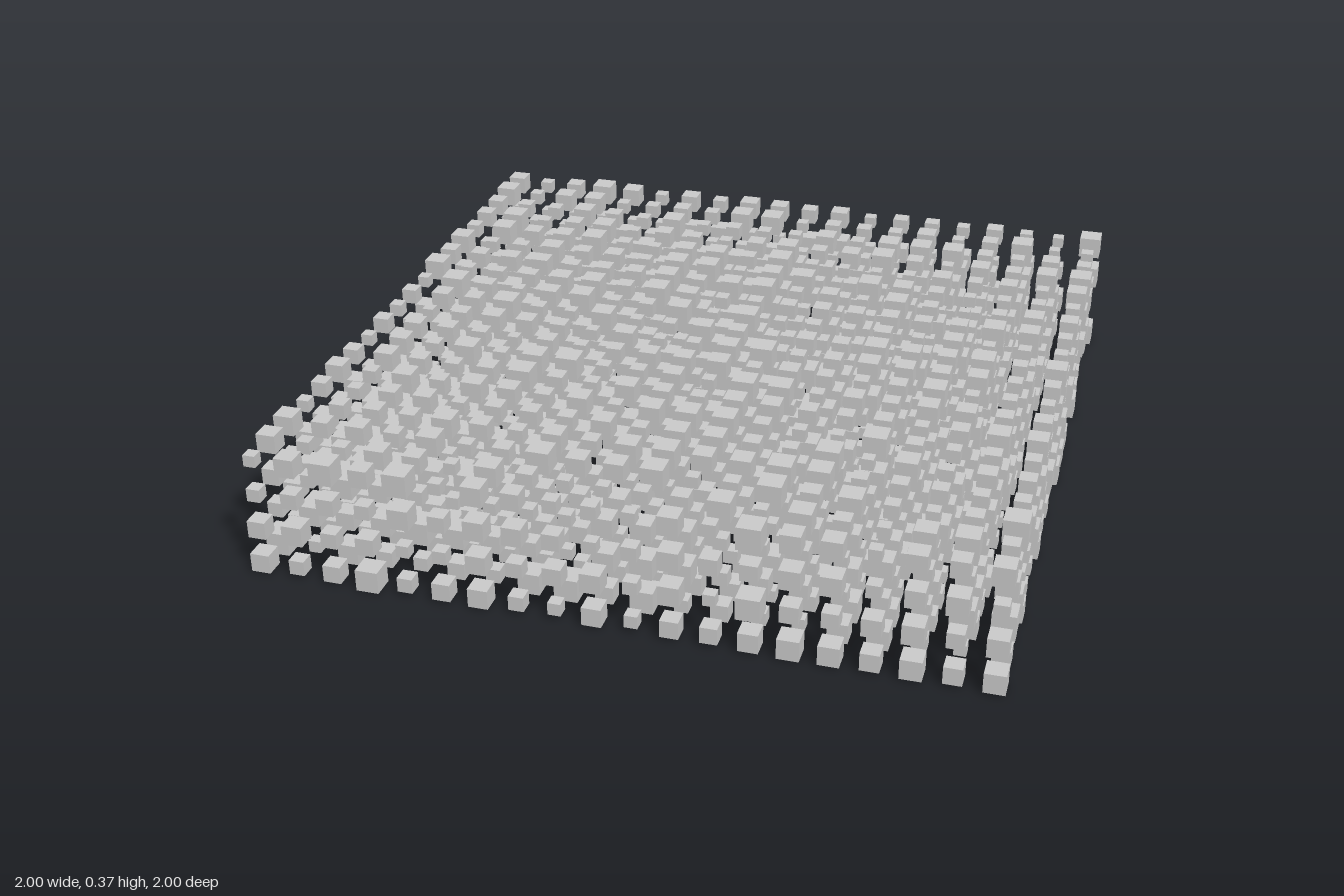
import * as THREE from 'three';
import { mergeGeometries } from 'three/addons/utils/BufferGeometryUtils.js';

const COLUMNS = 20;            // cubes along x and z
const LAYERS = 4;              // cubes along y
const MAX_SIZE = 0.064;        // largest cube edge
const MIN_SIZE = 0.032;        // smallest cube edge
const PITCH = (2 - MAX_SIZE) / (COLUMNS - 1);

// Small seeded generator for the varying cube sizes
function seededRandom(seed) {
  let s = seed;
  return () => {
    s = (s + 0x6d2b79f5) | 0;
    let t = Math.imul(s ^ (s >>> 15), 1 | s);
    t = (t + Math.imul(t ^ (t >>> 7), 61 | t)) ^ t;
    return ((t ^ (t >>> 14)) >>> 0) / 4294967296;
  };
}

export function createModel() {
  const group = new THREE.Group();
  group.name = 'cubeLattice';
  const material = new THREE.MeshStandardMaterial({ color: 0xcccccc });
  const random = seededRandom(7);
  const offset = (COLUMNS - 1) / 2;

  // One merged mesh per horizontal layer of separate cubes
  for (let layer = 0; layer < LAYERS; layer++) {
    const cubes = [];
    for (let row = 0; row < COLUMNS; row++) {
      for (let column = 0; column < COLUMNS; column++) {
        const size = THREE.MathUtils.lerp(MIN_SIZE, MAX_SIZE, random());
        const cube = new THREE.BoxGeometry(size, size, size);
        cube.translate((column - offset) * PITCH, 0, (row - offset) * PITCH);
        cubes.push(cube);
      }
    }
    const mesh = new THREE.Mesh(mergeGeometries(cubes), material);
    mesh.name = `cubeLayer${layer + 1}`;
    mesh.position.y = MAX_SIZE / 2 + layer * PITCH;
    group.add(mesh);
  }
  return group;
}
